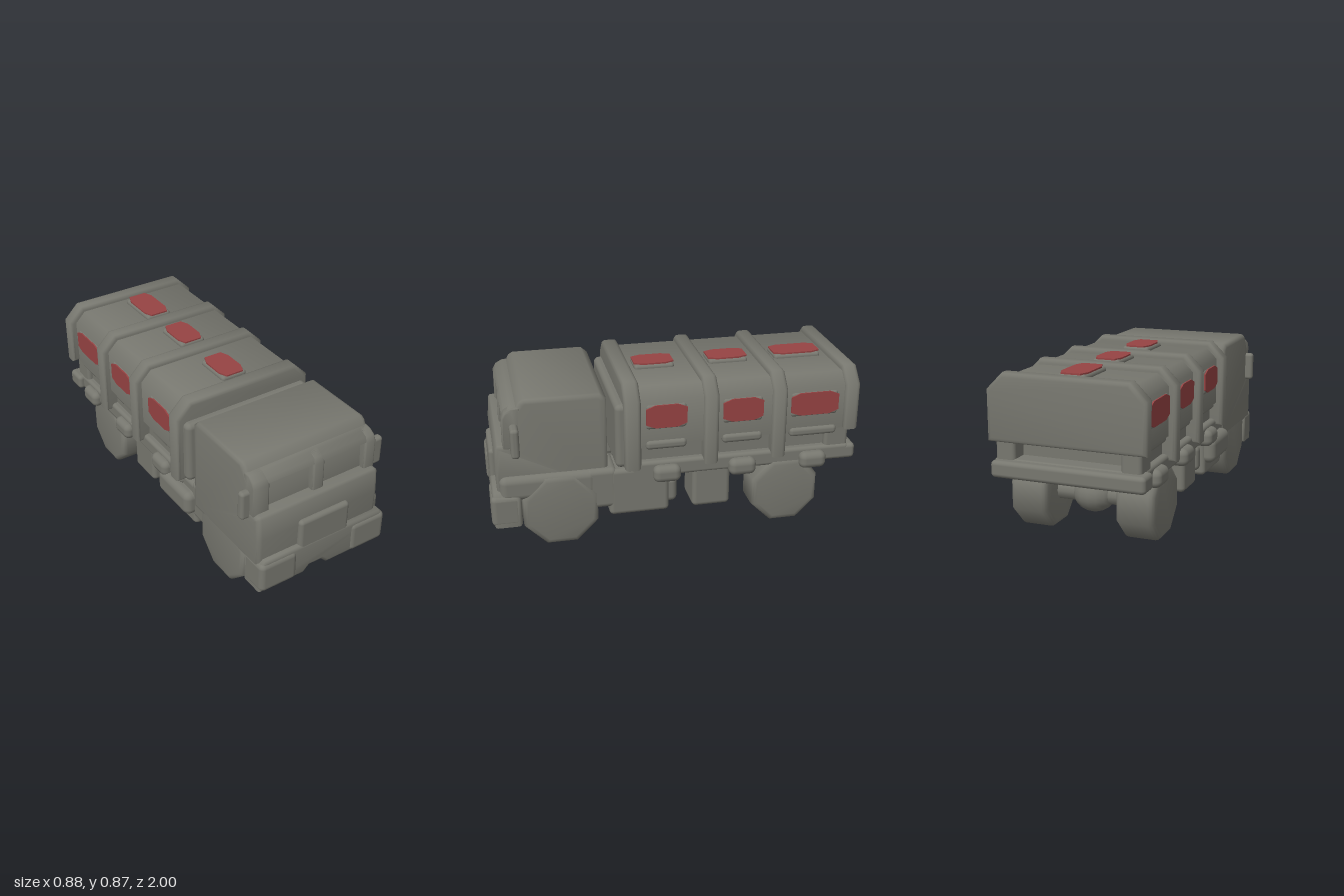
import * as THREE from 'three';
import { RoundedBoxGeometry } from 'three/addons/geometries/RoundedBoxGeometry.js';
import { toCreasedNormals } from 'three/addons/utils/BufferGeometryUtils.js';

export function createModel() {
  const root = new THREE.Group();
  root.name = 'cargoTruck';
  const grey = new THREE.MeshStandardMaterial({ name: 'putty grey', color: 0x77776f });
  const red = new THREE.MeshStandardMaterial({ name: 'dull red', color: 0x964343 });

  const add = (name, geometry, material = grey) => {
    const mesh = new THREE.Mesh(geometry, material);
    mesh.name = name;
    root.add(mesh);
    return mesh;
  };

  // Soft-edged block given by its limits
  const block = (name, x0, x1, y0, y1, z0, z1, r = 0.02) => {
    const g = new RoundedBoxGeometry(x1 - x0, y1 - y0, z1 - z0, 3, r);
    g.translate((x0 + x1) / 2, (y0 + y1) / 2, (z0 + z1) / 2);
    return add(name, g);
  };

  const outline = (pts) => new THREE.Shape(pts.map(([x, y]) => new THREE.Vector2(x, y)));

  // Bevelled extrusion that keeps the outline as its outer limit
  const solid = (shape, depth, bevel) => {
    const g = new THREE.ExtrudeGeometry(shape, {
      depth: depth - 2 * bevel, bevelEnabled: bevel > 0, bevelSize: bevel,
      bevelThickness: bevel, bevelOffset: -bevel, bevelSegments: 3, curveSegments: 6,
    });
    g.translate(0, 0, bevel);
    return toCreasedNormals(g, 0.9);
  };
  const prismZ = (name, shape, z0, z1, bevel) =>
    add(name, solid(shape, z1 - z0, bevel).translate(0, 0, z0));
  // Outline in (z, y), extruded from x0 to x1
  const prismX = (name, shape, x0, x1, bevel) =>
    add(name, solid(shape, x1 - x0, bevel).rotateY(-Math.PI / 2).translate(x1, 0, 0));

  // Rectangle with cut upper corners
  const cutTop = (x0, x1, y0, y1, c) => outline([
    [x0, y0], [x1, y0], [x1, y1 - c], [x1 - c, y1], [x0 + c, y1], [x0, y1 - c],
  ]);

  // Cab
  prismX('cab', outline([
    [0.375, 0.27], [0.96, 0.27], [0.965, 0.45], [0.955, 0.57], [0.945, 0.582], [0.885, 0.582],
    [0.875, 0.74], [0.84, 0.785], [0.825, 0.815], [0.8, 0.83], [0.41, 0.83], [0.375, 0.8],
  ]), -0.395, 0.355, 0.025);

  // Windscreen pillars and sloping header around two recessed panes
  const pillar = outline([
    [0.82, 0.56], [0.918, 0.56], [0.916, 0.735], [0.9, 0.765], [0.865, 0.785], [0.82, 0.79],
  ]);
  for (const [a, b] of [[-0.393, -0.3], [-0.04, 0.03], [0.285, 0.355]]) {
    prismX('windscreenPillar', pillar, a, b, 0.012);
  }
  prismX('windscreenHeader', outline([
    [0.82, 0.74], [0.912, 0.74], [0.9, 0.765], [0.865, 0.785], [0.82, 0.79],
  ]), -0.38, 0.345, 0.008);

  // Cab nose and bumper
  block('nosePanel', -0.155, 0.155, 0.22, 0.475, 0.85, 0.988, 0.022);
  prismZ('bumper', outline([
    [-0.395, 0.13], [-0.12, 0.13], [-0.085, 0.165], [-0.01, 0.165], [0.025, 0.13],
    [0.395, 0.13], [0.395, 0.29], [0.365, 0.325], [-0.365, 0.325], [-0.395, 0.29],
  ]), 0.84, 0.99, 0.02);

  // Parts mirrored on both sides
  for (const s of [-1, 1]) {
    const side = (name, xa, xb, ...rest) =>
      block(name, Math.min(s * xa, s * xb), Math.max(s * xa, s * xb), ...rest);

    side('bumperCorner', 0.17, 0.396, 0.132, 0.31, 0.84, 1, 0.03);
    side('mirror', 0.34, 0.438, 0.54, 0.703, 0.835, 0.88, 0.018);
    side('cabFender', 0.2, 0.388, 0.27, 0.41, 0.44, 0.95, 0.04);
    side('cabStep', 0.17, 0.385, 0.18, 0.41, 0.33, 0.5, 0.03);
    side('toolBox', 0.17, 0.385, 0.13, 0.4, 0.05, 0.375, 0.025);
    side('toolBoxEnd', 0.2, 0.36, 0.165, 0.31, 0, 0.1, 0.03);
    side('storageBox', 0.17, 0.38, 0.13, 0.4, -0.29, -0.08, 0.025);
    side('chassisRail', 0.15, 0.25, 0.24, 0.37, 0.02, 0.9, 0.02);

    // Chunky eight-sided wheels
    for (const z of [0.635, -0.6]) {
      const r = z > 0 ? 0.215 : 0.2;
      const tyre = [];
      for (let i = 0; i < 8; i++) {
        const a = (i + 0.5) * Math.PI / 4;
        tyre.push([z + r * Math.cos(a), r * Math.cos(Math.PI / 8) + r * Math.sin(a)]);
      }
      const x0 = s > 0 ? 0.188 : -0.394;
      prismX('wheel', outline(tyre), x0, x0 + 0.206, 0.03);
    }
  }
  block('sideTank', -0.438, -0.25, 0.2, 0.345, 0.06, 0.37, 0.04);

  // Axles, differentials and drivetrain
  for (const z of [0.635, -0.6]) {
    const axle = new THREE.CylinderGeometry(0.055, 0.055, 0.5, 12);
    add('axle', axle.rotateZ(Math.PI / 2).translate(0, 0.19, z));
    const hub = new THREE.SphereGeometry(0.1, 16, 12);
    add('differential', hub.scale(1.15, 1, 1).translate(0, 0.188, z));
  }
  block('gearbox', -0.13, 0.13, 0.17, 0.37, 0.01, 0.2, 0.05);
  block('crossMember', -0.2, 0.2, 0.25, 0.35, 0.42, 0.52, 0.02);

  // Cargo body
  block('cargoCore', -0.365, 0.345, 0.35, 0.8, -0.86, 0.28, 0.02);
  prismZ('cargoUpperShell', cutTop(-0.4, 0.375, 0.525, 0.838, 0.06), -0.97, 0.28, 0.015);
  block('cargoFloor', -0.4, 0.385, 0.34, 0.43, -0.96, 0.26, 0.02);
  block('frontBulkhead', -0.4, 0.37, 0.4, 0.76, 0.26, 0.335, 0.03);
  block('rearLedge', -0.43, 0.385, 0.338, 0.425, -1, -0.88, 0.022);
  for (const [a, b] of [[-0.395, -0.29], [0.27, 0.375]]) {
    block('rearPost', a, b, 0.38, 0.56, -0.955, -0.82, 0.02);
  }

  // Hoop ribs; the rear one stops above the slot
  for (const [z0, z1, y0] of [[-1, -0.915, 0.52], [-0.595, -0.51, 0.39], [-0.22, -0.135, 0.39], [0.2, 0.292, 0.39]]) {
    prismZ('cargoRib', cutTop(-0.438, 0.395, y0, 0.868, 0.085), z0, z1, 0.022);
  }

  // Thin red plate with tapered ends, lying in its own xy plane
  const plate = (along, across) => {
    const a = along / 2, b = across / 2, c = 0.05, d = 0.02;
    return solid(outline([
      [-a, -b + d], [-a + c, -b], [a - c, -b], [a, -b + d],
      [a, b - d], [a - c, b], [-a + c, b], [-a, b - d],
    ]), 0.008, 0);
  };

  // Three bays, each with a roof hatch and a window on either side
  for (const [z0, z1] of [[-0.88, -0.615], [-0.46, -0.24], [-0.045, 0.175]]) {
    const zc = (z0 + z1) / 2, len = z1 - z0;
    block('roofPad', -0.08, 0.074, 0.8, 0.86, z0, z1, 0.018);
    const hatch = plate(len, 0.142).rotateX(-Math.PI / 2).rotateY(Math.PI / 2);
    add('roofHatch', hatch.translate(-0.003, 0.859, zc), red);
    for (const s of [-1, 1]) {
      const x = s > 0 ? 0.384 : -0.407;
      block('windowPad', x - 0.025 - s * 0.025, x + 0.025 - s * 0.025, 0.615, 0.755, z0, z1, 0.018);
      add('sideWindow', plate(len, 0.128).rotateY(s * Math.PI / 2).translate(x - s * 0.001, 0.69, zc), red);
      // Lower side bump and the ledge above it
      const bx = s > 0 ? 0.375 : -0.385;
      block('sideBump', bx - 0.055, bx + 0.055, 0.315, 0.41, zc - 0.075, zc + 0.075, 0.035);
      block('sideLedge', bx - 0.045 - s * 0.03, bx + 0.045 - s * 0.03, 0.5, 0.55, z0, z1, 0.02);
    }
  }

  return root;
}
